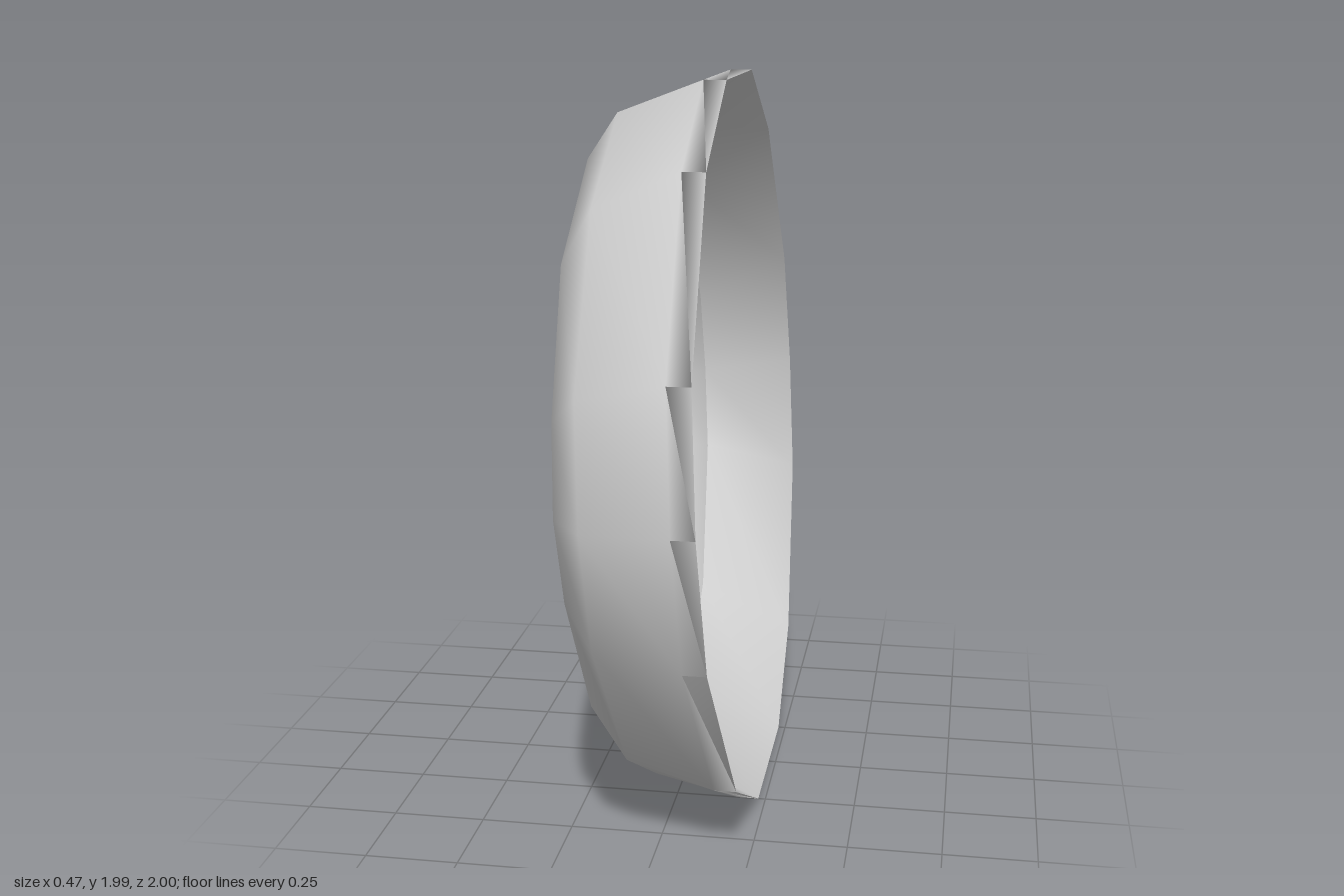
import * as THREE from 'three';

// Cross-section rings, walked around the wall of the band:
// x at top and bottom, centre height, then heights and half-widths of the corners
const lipInner = { x: [-0.13, -0.05], cy: 0.985, h: [0.855, 0.65, 0.252, 0], z: [0.25, 0.61, 0.85, 0.88] };
const RINGS = [
  lipInner,
  { x: [-0.2, -0.12], cy: 0.98, h: [0.78, 0.55, 0.22, 0], z: [0.25, 0.6, 0.77, 0.82] }, // hole edge
  { x: [-0.235, -0.155], cy: 0.985, h: [0.805, 0.58, 0.23, 0], z: [0.25, 0.6, 0.79, 0.84] }, // lip
  { x: [-0.155, -0.06], cy: 0.985, h: [0.925, 0.72, 0.31, 0], z: [0.25, 0.61, 0.9, 0.95] }, // shoulder
  { x: [0.07, 0.17], cy: 1.0, h: [0.995, 0.8, 0.35, 0], z: [0.25, 0.62, 0.95, 1] }, // outer wall
  { x: [0.13, 0.23], cy: 1.0, h: [0.995, 0.8, 0.35, 0], z: [0.25, 0.62, 0.95, 1] }, // open rim
  lipInner, // repeated so the inside corner stays sharp
];

// Fourteen corners of one ring, from the top round the +z side and back
function ringPoints({ x, cy, h, z }) {
  const half = [];
  for (let k = 0; k < 4; k++) half.push([z[k], h[k]]);
  for (let k = 2; k >= 0; k--) half.push([z[k], -h[k]]);
  const mirrored = half.map(([pz, py]) => [-pz, py]).reverse();
  return [...half, ...mirrored].map(([pz, py]) => {
    const lean = Math.pow((1 - py / h[0]) / 2, 1.3); // ring leans toward +x at the bottom
    return [x[0] + (x[1] - x[0]) * lean, cy + py, pz];
  });
}

function bandGeometry() {
  const sides = 14;
  const positions = RINGS.flatMap((ring) => ringPoints(ring).flat());
  const index = [];
  for (let i = 0; i < RINGS.length - 1; i++) {
    for (let j = 0; j < sides; j++) {
      const n = (j + 1) % sides;
      const a = i * sides + j, b = i * sides + n;
      const c = b + sides, d = a + sides;
      index.push(a, b, c, a, c, d);
    }
  }
  const geometry = new THREE.BufferGeometry();
  geometry.setAttribute('position', new THREE.Float32BufferAttribute(positions, 3));
  geometry.setIndex(index);
  geometry.computeVertexNormals();
  return geometry;
}

export function createModel() {
  const group = new THREE.Group();
  group.name = 'ring';
  const material = new THREE.MeshStandardMaterial({ color: 0xcccccc });
  const band = new THREE.Mesh(bandGeometry(), material);
  band.name = 'ringBand';
  band.position.y = -0.005; // rests on the ground
  group.add(band);
  return group;
}
